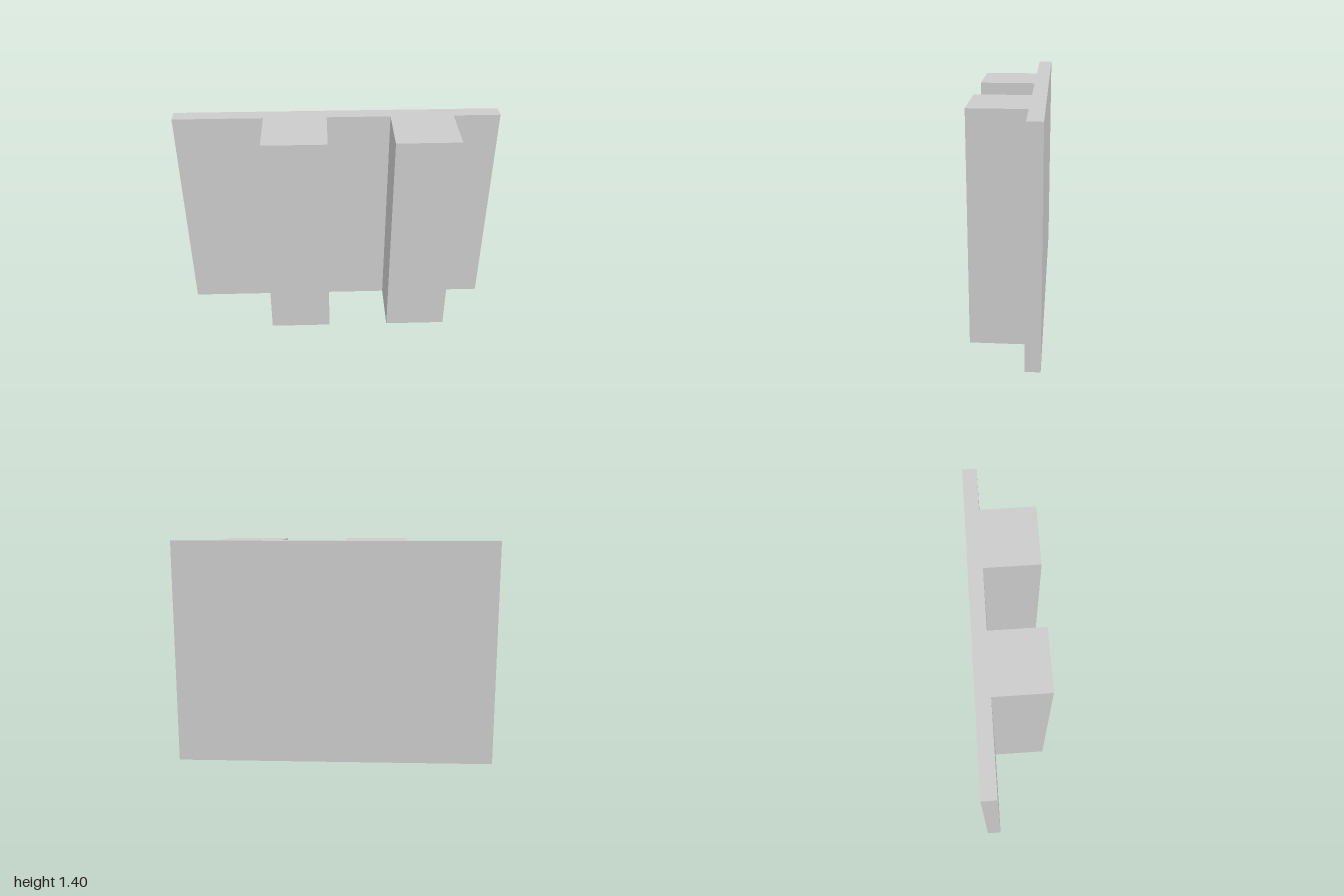
import * as THREE from 'three';

const HEIGHT = 1.4;
const BACK = -0.213, PANEL_FRONT = -0.125, RIB_FRONT = 0.213;
const RIBS = [[-0.449, -0.063], [0.326, 0.712]]; // x ranges of the two ribs

export function createModel() {
  const group = new THREE.Group();
  group.name = 'ribbedPanel';

  // Plan outline as (x, -z): along the front with its ribs, then the flat back
  const outline = [[-1, PANEL_FRONT]];
  for (const [x0, x1] of RIBS) {
    outline.push([x0, PANEL_FRONT], [x0, RIB_FRONT], [x1, RIB_FRONT], [x1, PANEL_FRONT]);
  }
  outline.push([1, PANEL_FRONT], [1, BACK], [-1, BACK]);
  const shape = new THREE.Shape(outline.map(([x, z]) => new THREE.Vector2(x, -z)));

  // Panel and ribs are one solid, extruded upwards
  const geometry = new THREE.ExtrudeGeometry(shape, { depth: HEIGHT, bevelEnabled: false });
  geometry.rotateX(-Math.PI / 2);

  const panel = new THREE.Mesh(geometry, new THREE.MeshStandardMaterial({ color: 0xcccccc }));
  panel.name = 'panelWithRibs';
  group.add(panel);
  return group;
}
